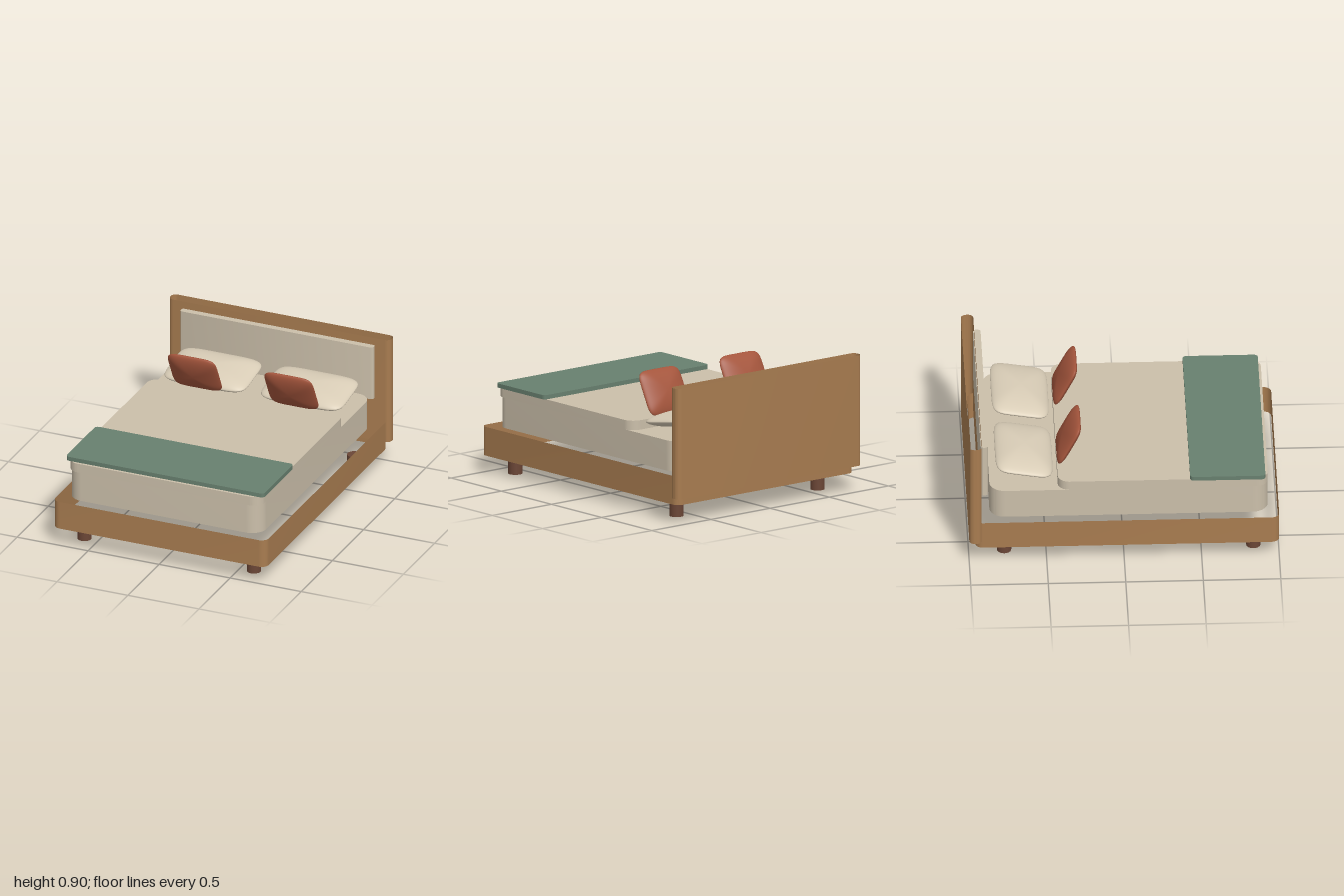
import * as THREE from 'three';
import { mergeVertices, toCreasedNormals } from 'three/addons/utils/BufferGeometryUtils.js';

const mat = (name, color, side = THREE.FrontSide) => {
  const m = new THREE.MeshStandardMaterial({ color, side });
  m.name = name;
  return m;
};

// Plan outline: a rectangle w by d with rounded corners
function outline(w, d, r) {
  const x = w / 2 - r, y = d / 2 - r, q = Math.PI / 2;
  const s = new THREE.Shape();
  s.absarc(-x, -y, r, 2 * q, 3 * q);
  s.absarc(x, -y, r, 3 * q, 4 * q);
  s.absarc(x, y, r, 0, q);
  s.absarc(-x, y, r, q, 2 * q);
  s.closePath();
  return s;
}

// Solid slab with rounded plan corners, standing on y = 0
function slab(w, h, d, r) {
  const g = new THREE.ExtrudeGeometry(outline(w, d, r), { depth: h, bevelEnabled: false, curveSegments: 8 });
  g.rotateX(-Math.PI / 2);
  return toCreasedNormals(g, 0.5);
}

// Open upright wall following the rounded outline, without top or bottom
function wall(w, h, d, r) {
  const pts = outline(w, d, r).getPoints(8);
  const g = new THREE.PlaneGeometry(1, h, pts.length - 1, 1);
  const p = g.attributes.position;
  for (let i = 0; i < p.count; i++) {
    const c = pts[i % pts.length];
    p.setXYZ(i, c.x, p.getY(i) + h / 2, -c.y);
  }
  return toCreasedNormals(g, 0.5);
}

// Soft cushion: sphere squared off in plan, thinning to a seam at its edge
function cushion(w, t, d) {
  const g = new THREE.SphereGeometry(1, 80, 32);
  g.deleteAttribute('normal');
  g.deleteAttribute('uv');
  const p = g.attributes.position, n = 6;
  for (let i = 0; i < p.count; i++) {
    const x = p.getX(i), y = p.getY(i), z = p.getZ(i);
    const s = Math.hypot(x, z);
    // The poles stay on the axis
    const k = s < 1e-6 ? 0 : Math.pow(Math.abs(x / s) ** n + Math.abs(z / s) ** n, -1 / n);
    p.setXYZ(i, x * k * w / 2, Math.sign(y) * Math.abs(y) ** 1.2 * t / 2, z * k * d / 2);
  }
  const m = mergeVertices(g, 1e-5);
  m.computeVertexNormals();
  return m;
}

export function createModel() {
  const model = new THREE.Group();
  model.name = 'bed';
  const wood = mat('wood', 0xa87c50, THREE.DoubleSide);
  const darkWood = mat('dark wood', 0x6b4636);
  const linen = mat('linen', 0xcbbfaa);
  const pillowCloth = mat('pillow cloth', 0xd8ccb6);
  const green = mat('green blanket', 0x68806f);
  const rust = mat('rust cloth', 0xa4553c);

  const add = (name, geo, material, x, y, z, tilt = 0) => {
    const m = new THREE.Mesh(geo, material);
    m.name = name;
    m.position.set(x, y, z);
    m.rotation.x = tilt;
    model.add(m);
  };

  // Wooden frame and headboard
  add('frame', wall(1.5, 0.19, 1.96, 0.05), wood, 0, 0.12, 0.02);
  add('headboard', wall(1.56, 0.73, 0.08, 0.035), wood, 0, 0.17, -0.96);
  add('headboardPanel', slab(1.36, 0.37, 0.048, 0.02), linen, 0, 0.48, -0.9);

  // Bedding
  add('mattress', slab(1.36, 0.2, 1.795, 0.1), linen, 0, 0.31, 0.0325);
  add('duvet', slab(1.36, 0.062, 1.355, 0.075), linen, 0, 0.51, 0.2525);
  add('throw', slab(1.394, 0.028, 0.485, 0.025), green, 0, 0.572, 0.67);

  // Legs, pillows and cushions on both sides
  const leg = new THREE.CylinderGeometry(0.046, 0.046, 0.12, 24);
  const pillow = cushion(0.58, 0.118, 0.375);
  const pad = cushion(0.344, 0.09, 0.31);
  for (const s of [-1, 1]) {
    add('frontLeg', leg, darkWood, s * 0.596, 0.06, 0.837);
    add('backLeg', leg, darkWood, s * 0.596, 0.06, -0.77);
    add('pillow', pillow, pillowCloth, s * 0.34, 0.598, -0.638, 0.17);
    add('cushion', pad, rust, s * 0.34, 0.712, -0.347, -1.1);
  }
  return model;
}
